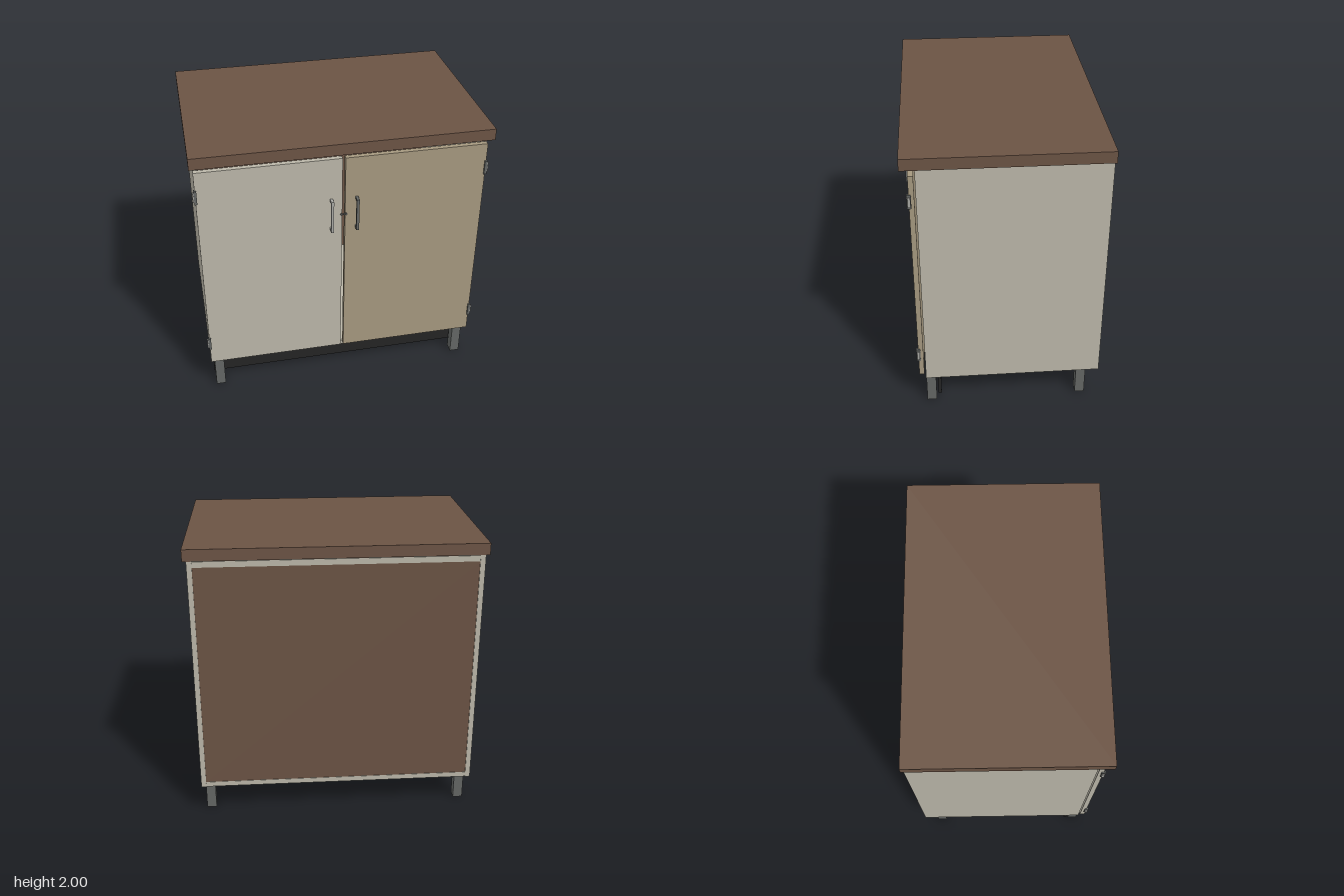
import * as THREE from 'three';

const mat = (color) => new THREE.MeshStandardMaterial({ color });

export function createModel() {
  const model = new THREE.Group();
  model.name = 'cabinet';
  const brown = mat(0x6b5344), cream = mat(0xbab6a8), tan = mat(0xa5987f);
  const steel = mat(0x636664), dark = mat(0x242424), silver = mat(0xa8a8a4);

  // Box given by its lower and upper limits on each axis
  const box = (name, [x0, x1], [y0, y1], [z0, z1], material, parent = model) => {
    const mesh = new THREE.Mesh(new THREE.BoxGeometry(x1 - x0, y1 - y0, z1 - z0), material);
    mesh.position.set((x0 + x1) / 2, (y0 + y1) / 2, (z0 + z1) / 2);
    mesh.name = name;
    parent.add(mesh);
    return mesh;
  };

  // Worktop and hollow carcass
  box('worktop', [-1, 1], [1.92, 2], [-0.665, 0.665], brown);
  box('bottomPanel', [-0.94, 0.94], [0.23, 0.267], [-0.655, 0.57], cream);
  box('topPanel', [-0.94, 0.94], [1.875, 1.915], [-0.655, 0.57], cream);
  box('backPanel', [-0.94, 0.94], [0.267, 1.875], [-0.652, -0.635], brown);
  box('plinth', [-0.955, 0.955], [0.065, 0.23], [0.465, 0.488], dark);

  for (const s of [-1, 1]) {
    const side = s < 0 ? 'right' : 'left';
    const span = (a, b) => (s > 0 ? [a, b] : [-b, -a]);
    box(side + 'SidePanel', span(0.94, 0.975), [0.23, 1.92], [-0.658, 0.57], cream);

    // Door with its hinges and handle
    const door = new THREE.Group();
    door.name = side + 'DoorAssembly';
    model.add(door);
    box(side + 'Door', s > 0 ? [0.008, 0.975] : [-0.975, -0.012], [0.27, 1.868],
      [0.58, 0.615], s > 0 ? tan : cream, door);
    for (const y of [0.45, 1.69]) {
      box('hingePlate', span(0.964, 0.982), [y - 0.05, y + 0.05], [0.6, 0.628], steel, door);
      box('hingeKnuckle', span(0.974, 0.99), [y - 0.035, y + 0.035], [0.604, 0.622], silver, door);
    }
    const grip = s > 0 ? steel : silver;
    const hx = span(0.077, 0.096);
    box('handleGrip', hx, [1.325, 1.568], [0.645, 0.662], grip, door);
    for (const y of [1.325, 1.551]) box('handlePost', hx, [y, y + 0.017], [0.612, 0.648], grip, door);

    // Square legs, front and back
    for (const z of [0.535, -0.535]) {
      box(z > 0 ? 'frontLeg' : 'backLeg', span(0.882, 0.95), [0, 0.23], [z - 0.034, z + 0.034], steel);
    }
  }

  // Small latch across the gap between the doors
  const latch = new THREE.Group();
  latch.name = 'latch';
  model.add(latch);
  box('latchBar', [-0.025, 0.022], [1.434, 1.441], [0.612, 0.62], steel, latch);
  for (const x of [-0.018, 0.014]) {
    const pin = new THREE.Mesh(new THREE.CylinderGeometry(0.008, 0.008, 0.01, 12), steel);
    pin.rotation.x = Math.PI / 2;
    pin.position.set(x, 1.4375, 0.618);
    pin.name = 'latchPin';
    latch.add(pin);
  }
  return model;
}
